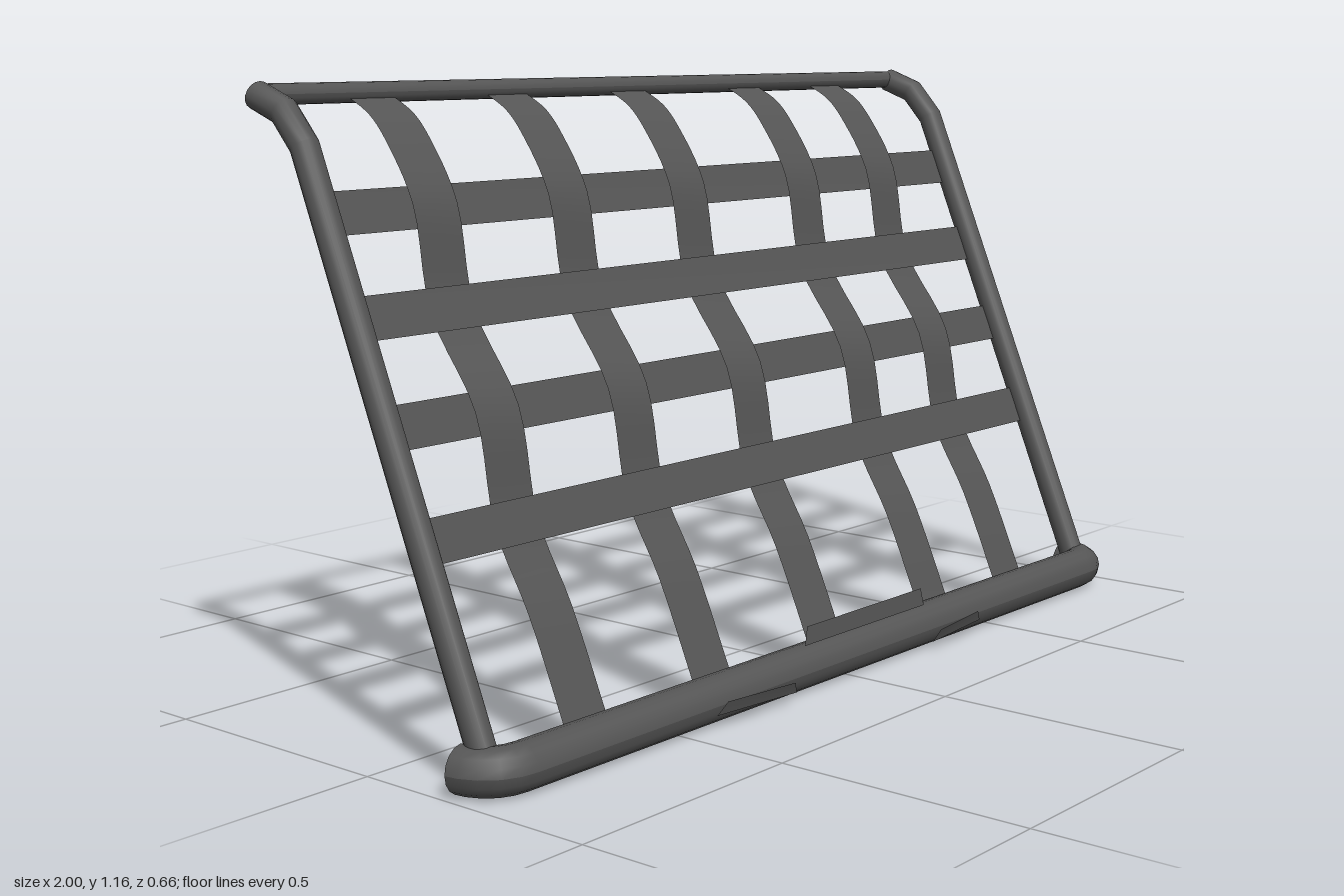
import * as THREE from 'three';

const V = (x, y, z) => new THREE.Vector3(x, y, z);
const metal = new THREE.MeshStandardMaterial({ color: 0x555555 });
const webbing = new THREE.MeshStandardMaterial({ color: 0x555555, side: THREE.DoubleSide });

// depth of the sloping net plane at a given height
const slope = (y) => 0.243 - 0.418 * y;

// surface joining equal-length rows of points
function loft(rows) {
  const n = rows[0].length, pos = [], idx = [];
  rows.forEach((row) => row.forEach((p) => pos.push(p.x, p.y, p.z)));
  for (let i = 0; i < rows.length - 1; i++) {
    for (let j = 0; j < n - 1; j++) {
      const a = i * n + j, b = a + n;
      idx.push(a, a + 1, b, a + 1, b + 1, b);
    }
  }
  const g = new THREE.BufferGeometry();
  g.setAttribute('position', new THREE.Float32BufferAttribute(pos, 3));
  g.setIndex(idx);
  g.computeVertexNormals();
  return g;
}

// round pipe with mitred bends along a planar path, capped at both ends
function pipe(name, path, planeNormal, radius, sides = 16) {
  const group = new THREE.Group();
  group.name = name;
  const dir = (i) => path[i + 1].clone().sub(path[i]).normalize();
  const last = path.length - 1;
  const rows = path.map((p, i) => {
    const d0 = dir(Math.max(i - 1, 0)), d1 = dir(Math.min(i, last - 1));
    const t = d0.clone().add(d1).normalize();
    const side = t.clone().cross(planeNormal).normalize();
    const stretch = radius / t.dot(d1);
    return Array.from({ length: sides + 1 }, (_, j) => {
      const a = (j / sides) * Math.PI * 2;
      return p.clone().addScaledVector(side, Math.cos(a) * stretch)
        .addScaledVector(planeNormal, -Math.sin(a) * radius);
    });
  });
  const tube = new THREE.Mesh(loft(rows), webbing);
  tube.name = name + 'Tube';
  group.add(tube);
  for (const [i, sign] of [[0, -1], [last, 1]]) {
    const cap = new THREE.Mesh(new THREE.CircleGeometry(radius, sides), metal);
    cap.name = name + 'Cap';
    cap.position.copy(path[i]);
    const out = dir(i === 0 ? 0 : last - 1).multiplyScalar(sign);
    cap.quaternion.setFromUnitVectors(V(0, 0, 1), out);
    group.add(cap);
  }
  return group;
}

function sheet(name, rows) {
  const mesh = new THREE.Mesh(loft(rows), webbing);
  mesh.name = name;
  return mesh;
}

export function createModel() {
  const model = new THREE.Group();
  model.name = 'cargoNetFrame';

  // thick bottom bar with ends curving back
  const corner = [[0.958, 0.185], [0.955, 0.205], [0.946, 0.225], [0.93, 0.242], [0.91, 0.251], [0.885, 0.254]];
  const barPath = [
    ...corner.map(([x, z]) => V(-x, 0.043, z)),
    ...corner.slice().reverse().map(([x, z]) => V(x, 0.043, z)),
  ];
  model.add(pipe('bottomBar', barPath, V(0, 1, 0), 0.043));

  // leaning side posts, bent back at the top
  for (const [name, x] of [['leftPost', 0.936], ['rightPost', -0.936]]) {
    const path = [V(x, 0.03, slope(0.03)), V(x, 1.055, -0.193), V(x, 1.113, -0.245), V(x, 1.139, -0.315)];
    model.add(pipe(name, path, V(1, 0, 0), 0.026));
  }

  // top rail
  model.add(pipe('topRail', [V(-0.936, 1.14, -0.312), V(0.936, 1.14, -0.312)], V(0, 1, 0), 0.019));

  // straight horizontal straps
  const heights = [0.4, 0.585, 0.765, 0.94];
  for (const y of heights) {
    const edge = (e) => [V(-0.93, y + e, slope(y + e) - 0.005), V(0.93, y + e, slope(y + e) - 0.005)];
    model.add(sheet('horizontalStrap', [edge(-0.037), edge(0.037)]));
  }

  // vertical straps woven behind and in front of the horizontal ones
  const weave = heights.map((y, i) => {
    const s = i % 2 ? 0.018 : -0.018;
    return V(0, y + s * 0.39, slope(y) - 0.005 + s * 0.92);
  });
  const curve = new THREE.CatmullRomCurve3([
    V(0, 0.05, slope(0.05)), V(0, 0.25, slope(0.25) - 0.005), ...weave,
    V(0, 1.05, -0.2), V(0, 1.1, -0.245), V(0, 1.137, -0.312),
  ], false, 'centripetal');
  const line = curve.getPoints(40);
  for (const x of [-0.69, -0.35, -0.005, 0.37, 0.66]) {
    model.add(sheet('verticalStrap', line.map((p) => [V(x - 0.053, p.y, p.z), V(x + 0.053, p.y, p.z)])));
  }

  // thin plates in front of the bottom bar
  model.add(sheet('centrePlate', [
    [V(-0.2, 0.11, 0.318), V(0.19, 0.11, 0.318)],
    [V(-0.19, 0.145, 0.315), V(0.183, 0.145, 0.315)],
  ]));
  for (const s of [-1, 1]) {
    model.add(sheet('sidePlate', [
      [V(s * 0.43, 0.026, 0.296), V(s * 0.225, 0.026, 0.318)],
      [V(s * 0.41, 0.05, 0.305), V(s * 0.24, 0.05, 0.327)],
    ]));
  }
  return model;
}
